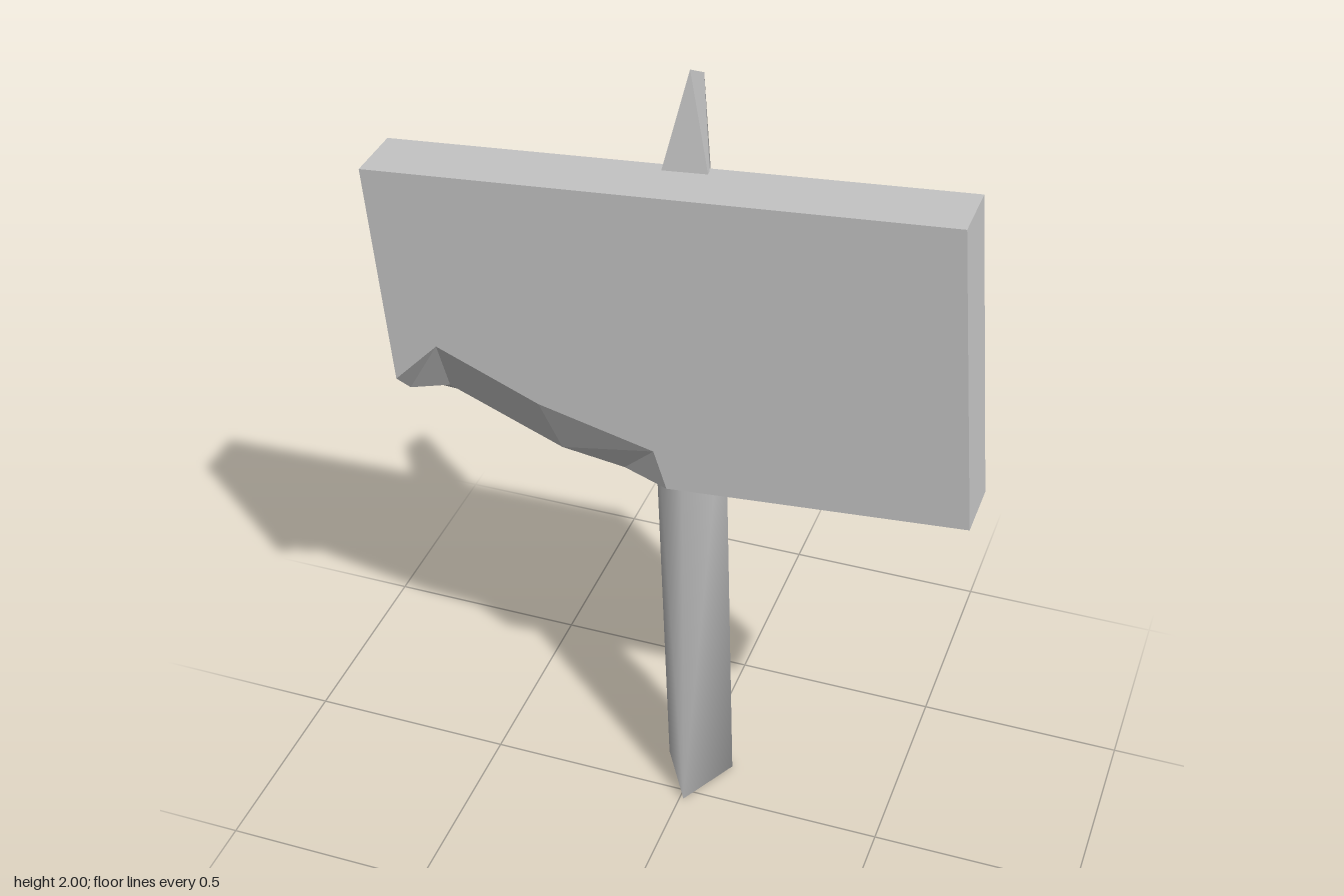
import * as THREE from 'three';

const grey = new THREE.MeshStandardMaterial({ color: 0xc8c8c8 });
grey.name = 'plain grey';

// mesh from corner points and triangles; smooth shares normals at corners
function faceted(name, points, tris, smooth) {
  let geo = new THREE.BufferGeometry();
  geo.setAttribute('position', new THREE.Float32BufferAttribute(points.flat(), 3));
  geo.setIndex(tris.flat());
  if (!smooth) geo = geo.toNonIndexed();
  geo.computeVertexNormals();
  const mesh = new THREE.Mesh(geo, grey);
  mesh.name = name;
  return mesh;
}

// hewn three-sided post with a slanted pointed tip
function makePost() {
  const points = [
    [-0.08, 0, -0.12], [0.09, 0, -0.12], [0.01, 0, 0.03],           // foot
    [-0.08, 1.25, -0.02], [0.09, 1.25, -0.02], [0.005, 1.25, 0.03], // shoulders
    [-0.055, 1.75, 0.003], [0.06, 1.75, 0.003],                     // base of the tip
    [0.003, 1.95, -0.12], [0.003, 2, -0.03],                        // tip ridge
  ];
  const sides = [
    [0, 8, 1],
    [2, 5, 3], [2, 3, 0], [0, 3, 8], [3, 6, 8], [5, 6, 3],
    [2, 4, 5], [2, 1, 4], [1, 8, 4], [4, 8, 7], [5, 4, 7],
    [5, 7, 6],
  ];
  const ends = [[6, 7, 9], [6, 9, 8], [7, 8, 9], [0, 1, 2]];
  const post = new THREE.Group();
  post.name = 'post';
  post.add(faceted('postShaft', points, sides, true), faceted('postTipAndFoot', points, ends, false));
  return post;
}

// tilted board, its lower edge chipped away on one side
function makeBoard() {
  const zFront = 0.117, zMid = 0.06, zBack = -0.027;
  // each row: top x, then [x, y] of the lower edge at front, middle and back
  const stations = [
    [-0.69, [-0.645, 1.19], [-0.64, 1.13], [-0.637, 1.09]],
    [-0.56, [-0.54, 1.30], [-0.54, 1.16], [-0.54, 1.085]],
    [-0.30, [-0.30, 1.20], [-0.27, 1.05], [-0.28, 1.07]],
    [-0.08, [-0.03, 1.135], [-0.12, 1.03], [-0.12, 1.065]],
    [-0.03, [0, 1.04], [0, 1.04], [0, 1.07]],
    [0.625, [0.685, 1.10], [0.685, 1.10], [0.685, 1.10]],
  ];
  const points = [], tris = [], n = 5, last = (stations.length - 1) * n;
  for (const [x, front, mid, back] of stations) {
    const yTop = 1.72 + (x + 0.69) * 0.084;
    points.push([x, yTop, zFront], [x, yTop, zBack], [...back, zBack], [...mid, zMid], [...front, zFront]);
  }
  for (let i = 0; i < last; i += n) {
    for (let j = 0; j < n; j++) {
      const a = i + j, b = i + (j + 1) % n;
      tris.push([a, a + n, b + n], [a, b + n, b]);
    }
  }
  // both ends
  for (let j = 1; j < n - 1; j++) {
    tris.push([0, j, j + 1], [last, last + j + 1, last + j]);
  }
  return faceted('signBoard', points, tris, false);
}

export function createModel() {
  const sign = new THREE.Group();
  sign.name = 'signpost';
  sign.add(makePost(), makeBoard());
  return sign;
}
